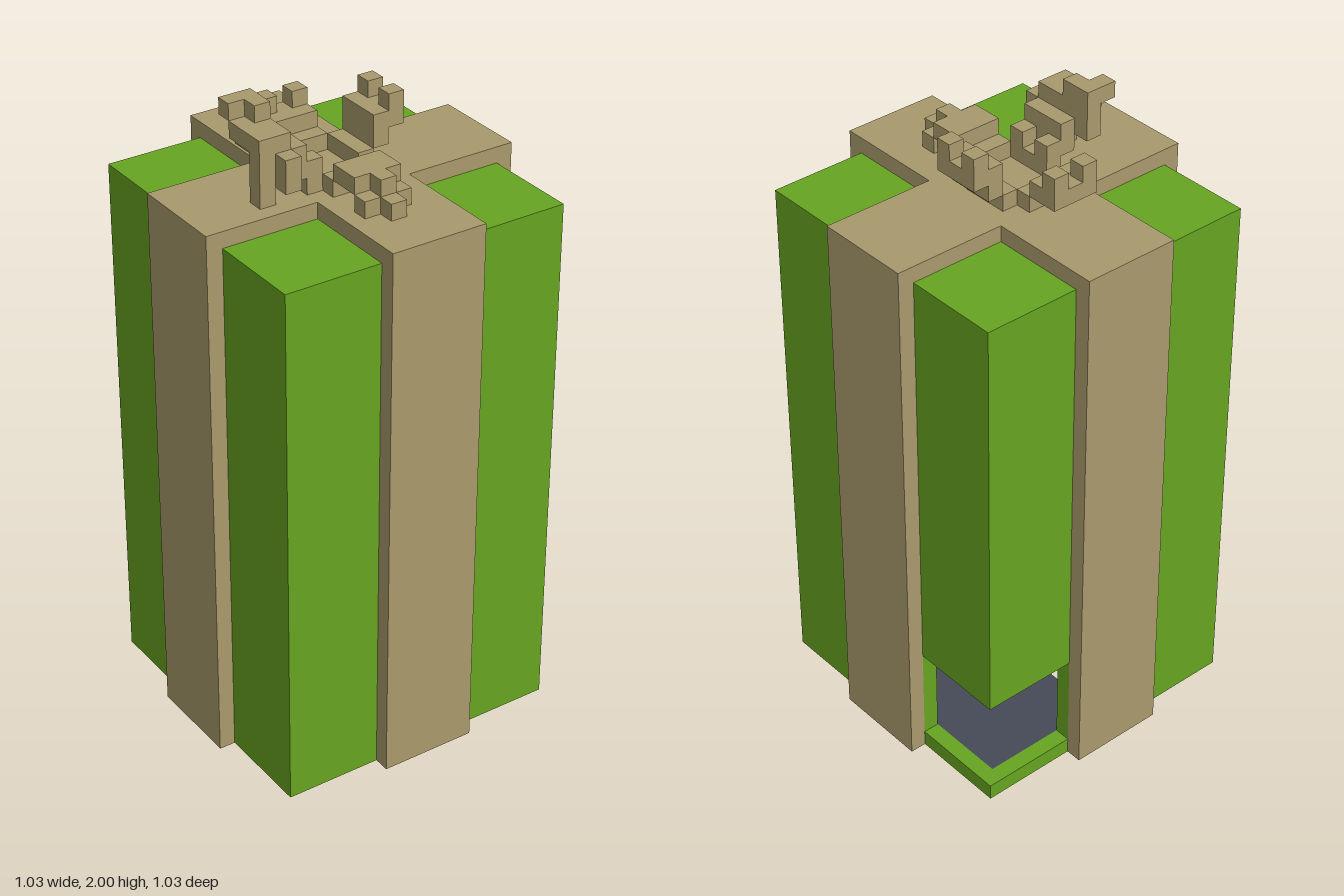
import * as THREE from 'three';

const U = 2 / 39; // one block

const mat = (name, color) => {
  const m = new THREE.MeshStandardMaterial({ color });
  m.name = name;
  return m;
};

export function createModel() {
  const root = new THREE.Group();
  root.name = 'giftBox';
  const green = mat('green', 0x67a521);
  const tan = mat('tan', 0xaa9b6d);
  const slate = mat('slate', 0x454b57);

  const group = (name) => {
    const g = new THREE.Group();
    g.name = name;
    root.add(g);
    return g;
  };
  // Box between two corners, measured in blocks
  const box = (parent, name, material, x0, x1, y0, y1, z0, z1) => {
    const geo = new THREE.BoxGeometry((x1 - x0) * U, (y1 - y0) * U, (z1 - z0) * U);
    const mesh = new THREE.Mesh(geo, material);
    mesh.name = name;
    mesh.position.set((x0 + x1) / 2 * U, (y0 + y1) / 2 * U, (z0 + z1) / 2 * U);
    parent.add(mesh);
  };

  // Hollow box, open below, with a doorway cut from its back corner
  const shell = group('shell');
  box(shell, 'frontWall', green, -9, 9, 0, 33, 8, 9);
  box(shell, 'sideWall', green, -9, -8, 0, 33, -8, 8);
  box(shell, 'backWall', green, -9, 3, 0, 33, -9, -8);
  box(shell, 'backWallOverDoor', green, 3, 9, 7, 33, -9, -8);
  box(shell, 'backSill', green, 3, 9, 0, 1, -9, -8);
  box(shell, 'doorSideWall', green, 8, 9, 0, 33, -3, 8);
  box(shell, 'sideWallOverDoor', green, 8, 9, 7, 33, -8, -3);
  box(shell, 'sideSill', green, 8, 9, 0, 1, -8, -3);
  box(shell, 'ceiling', green, -8, 8, 32, 33, -8, 8);

  // Ribbons down the four sides and crossing over the lid
  const ribbon = group('ribbon');
  box(ribbon, 'topRibbon', tan, -3, 3, 33, 34, -10, 10);
  for (const s of [-1, 1]) {
    box(ribbon, 'topRibbonArm', tan, s > 0 ? 3 : -10, s > 0 ? 10 : -3, 33, 34, -3, 3);
    box(ribbon, 'sideRibbon', tan, s > 0 ? 9 : -10, s > 0 ? 10 : -9, 0, 33, -3, 3);
    box(ribbon, 'endRibbon', tan, -3, 3, 0, 33, s > 0 ? 9 : -10, s > 0 ? 10 : -9);
  }

  // Things inside the doorway
  const inside = group('interior');
  box(inside, 'floorPlate', slate, 0, 8, 0, 1, -8, 1);
  box(inside, 'post', tan, 0, 1, 1, 20, 0, 1);
  box(inside, 'postPanel', slate, 0, 1, 1, 20, 1, 2);
  box(inside, 'wallPeg', tan, -2, -1, 1, 1.5, 7, 8);

  // Bow loops: x0, x1, y0, y1, z0, z1
  const loops = {
    backLoop: [
      [-2, 1, 34, 35, -3, -2], [-2, 1, 35, 36, -5, -3],
      [-2, -1, 36, 37, -5, -4], [0, 1, 36, 37, -5, -4],
    ],
    frontLoop: [
      [-2, 1, 34, 35, 2, 3], [-2, 1, 35, 36, 3, 5], [-1, 0, 35, 36, 5, 6],
      [-2, -1, 34, 35, 5, 6], [0, 1, 34, 35, 5, 6], [-1, 0, 34, 35, 6, 7],
    ],
    leftLoop: [
      [1, 2, 34, 35, -2, 1], [2, 3, 35, 37, -2, 1], [3, 4, 36, 37, -2, 1],
      [3, 4, 37, 38, -2, -1], [3, 4, 37, 38, 0, 1],
    ],
    rightLoop: [
      [-3, -2, 34, 35, -1, 2], [-3, -2, 35, 36, -1, 0], [-3, -2, 35, 36, 1, 2],
      [-4, -3, 35, 37, -1, 2], [-5, -4, 36, 38, -2, 2], [-6, -5, 37, 38, -1, 2],
      [-6, -4, 38, 39, -2, -1], [-5, -4, 38, 39, -1, 0],
      [-6, -5, 34, 37, 1, 2], [-5, -4, 35, 37, 2, 3],
    ],
  };
  for (const [name, blocks] of Object.entries(loops)) {
    const loop = group(name);
    for (const b of blocks) box(loop, 'bowBlock', tan, ...b);
  }
  return root;
}
